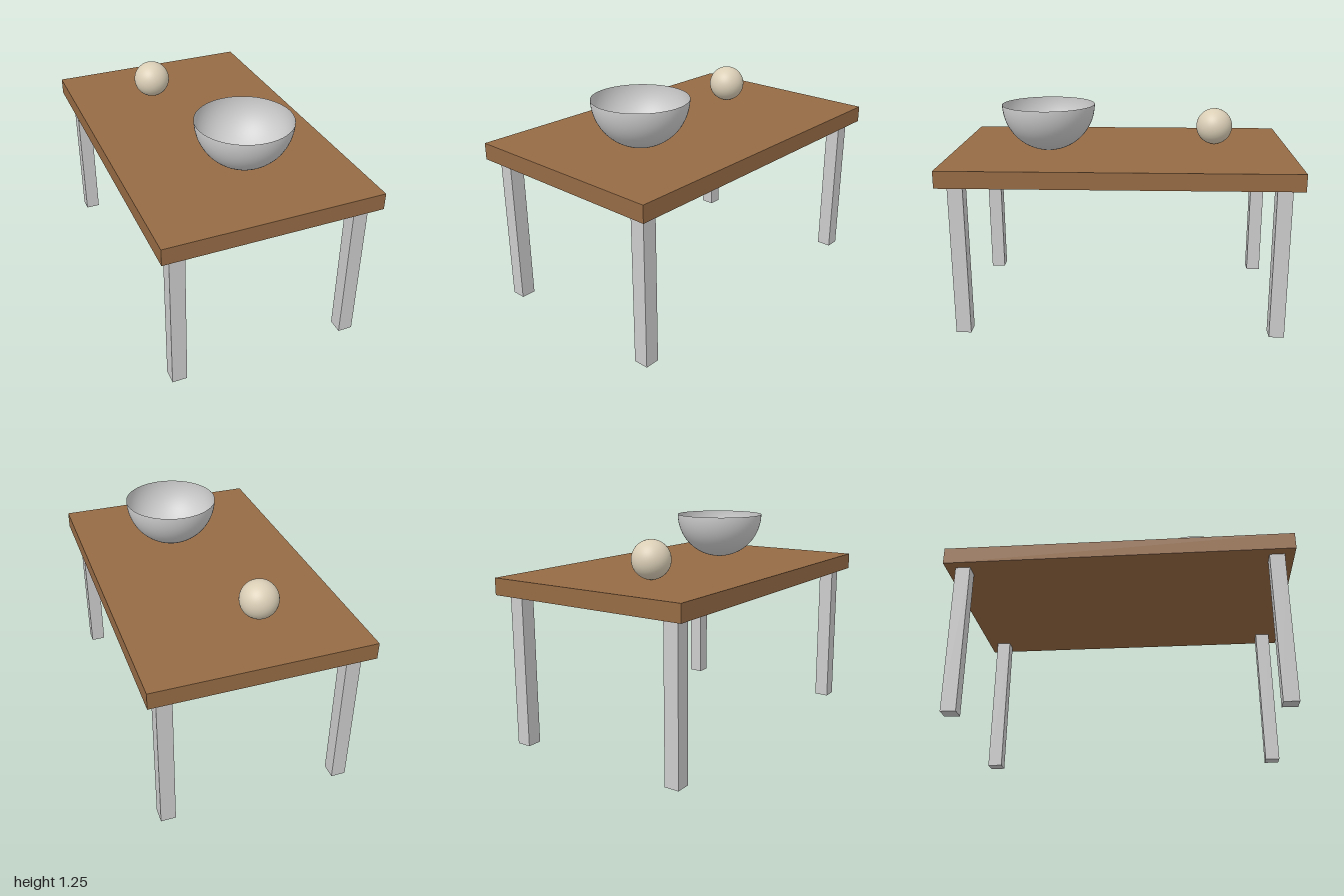
import * as THREE from 'three';

export function createModel() {
  const group = new THREE.Group();
  const material = (name, color) => {
    const m = new THREE.MeshStandardMaterial({ color });
    m.name = name;
    return m;
  };
  const wood = material('brown wood', 0x966b45);
  const metal = material('light grey metal', 0xcccccc);
  metal.side = THREE.DoubleSide; // the bowl is an open shell
  const cream = material('cream', 0xdaceb6);

  const add = (name, geometry, mat, x, y, z) => {
    const mesh = new THREE.Mesh(geometry, mat);
    mesh.name = name;
    mesh.position.set(x, y, z);
    group.add(mesh);
  };

  // Table top
  const legHeight = 0.88, topThickness = 0.097;
  const surface = legHeight + topThickness;
  add('tableTop', new THREE.BoxGeometry(1.246, topThickness, 2), wood, 0, legHeight + topThickness / 2, 0);

  // Four square legs, set in from the corners
  const legGeometry = new THREE.BoxGeometry(0.086, legHeight, 0.086);
  for (const [side, sx] of [['Left', 1], ['Right', -1]]) {
    for (const [end, sz] of [['front', 1], ['back', -1]]) {
      add(`${end}${side}Leg`, legGeometry, metal, sx * 0.523, legHeight / 2, sz * 0.9);
    }
  }

  // Hemispherical bowl, open at the top
  const bowlRadius = 0.274;
  const bowl = new THREE.SphereGeometry(bowlRadius, 64, 24, 0, Math.PI * 2, Math.PI / 2, Math.PI / 2);
  add('bowl', bowl, metal, 0.061, surface + bowlRadius, 0.437);

  // Ball
  const ballRadius = 0.11;
  add('ball', new THREE.SphereGeometry(ballRadius, 48, 32), cream, -0.127, surface + ballRadius, -0.563);

  return group;
}
